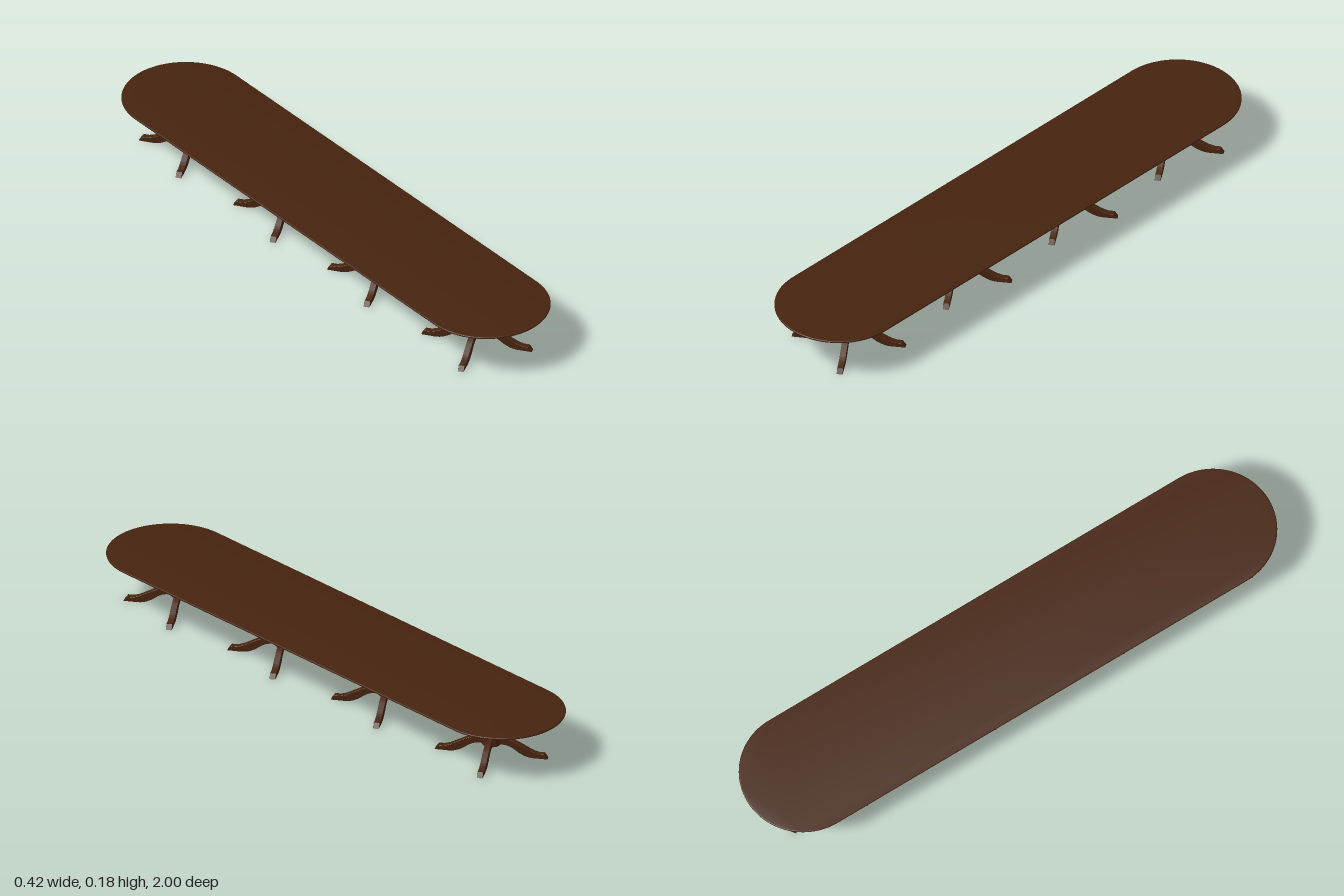
import * as THREE from 'three';
import { toCreasedNormals } from 'three/addons/utils/BufferGeometryUtils.js';

const wood = new THREE.MeshStandardMaterial({ color: 0x46240f });
wood.name = 'brown wood';
const redWood = new THREE.MeshStandardMaterial({ color: 0x3a1218 });
redWood.name = 'dark red wood';

function part(name, geometry, material) {
  const mesh = new THREE.Mesh(geometry, material);
  mesh.name = name;
  return mesh;
}

// Turned part from [radius, height] points, listed bottom to top
function turned(name, points, material) {
  const lathe = new THREE.LatheGeometry(points.map(([r, y]) => new THREE.Vector2(r, y)), 32);
  return part(name, toCreasedNormals(lathe, 0.6), material);
}

// Long top with round ends and a rounded rim
function makeTop() {
  const bevel = 0.003, r = 0.21 - bevel, straight = 0.79;
  const shape = new THREE.Shape();
  shape.moveTo(r, -straight);
  shape.lineTo(r, straight);
  shape.absarc(0, straight, r, 0, Math.PI, false);
  shape.lineTo(-r, -straight);
  shape.absarc(0, -straight, r, Math.PI, Math.PI * 2, false);
  const geo = new THREE.ExtrudeGeometry(shape, {
    depth: 0.001, bevelThickness: bevel, bevelSize: bevel, bevelSegments: 4, curveSegments: 40,
  });
  geo.rotateX(-Math.PI / 2);
  geo.translate(0, 0.172, 0);
  return part('tableTop', toCreasedNormals(geo, 0.5), wood);
}

// S-curved leg, drawn from the side and extruded across its width
function makeLegGeometry() {
  const v = (x, y) => new THREE.Vector2(x, y);
  const shape = new THREE.Shape();
  shape.moveTo(0.02, 0.038);
  shape.splineThru([v(0.045, 0.04), v(0.07, 0.032), v(0.095, 0.015), v(0.12, 0.004), v(0.14, 0.001)]);
  shape.lineTo(0.187, 0.001);
  shape.lineTo(0.176, 0.016);
  shape.lineTo(0.157, 0.016);
  shape.splineThru([v(0.135, 0.023), v(0.11, 0.036), v(0.08, 0.051), v(0.05, 0.06), v(0.02, 0.062)]);
  const width = 0.016, bevel = 0.002;
  const geo = new THREE.ExtrudeGeometry(shape, {
    depth: width, bevelThickness: bevel, bevelSize: 0.001, bevelSegments: 2, curveSegments: 16,
  });
  geo.translate(0, 0, -width / 2);
  return toCreasedNormals(geo, 0.5);
}

function makePedestal(legGeometry) {
  const pedestal = new THREE.Group();
  pedestal.name = 'pedestal';
  pedestal.add(
    turned('hub', [[0, 0.036], [0.030, 0.036], [0.032, 0.038], [0.032, 0.073], [0.030, 0.076], [0, 0.076]], wood),
    turned('lowerRing', [[0, 0.076], [0.024, 0.076], [0.026, 0.079], [0.026, 0.083], [0.023, 0.086], [0, 0.086]], wood),
    turned('bulbs', [
      [0.020, 0.085], [0.024, 0.089], [0.026, 0.095], [0.024, 0.101], [0.019, 0.106], [0.018, 0.109],
      [0.020, 0.112], [0.025, 0.116], [0.026, 0.121], [0.024, 0.127], [0.020, 0.131],
    ], redWood),
    turned('upperRing', [
      [0, 0.130], [0.024, 0.130], [0.026, 0.132], [0.026, 0.136], [0.030, 0.139], [0.033, 0.143], [0, 0.144],
    ], wood),
    turned('drum', [[0.030, 0.142], [0.033, 0.145], [0.031, 0.150], [0.031, 0.158], [0.033, 0.162], [0.033, 0.168]], redWood),
    turned('mountingDisc', [[0, 0.166], [0.063, 0.166], [0.065, 0.167], [0.065, 0.170], [0, 0.170]], wood),
  );
  // Four legs, turned off the table's axes
  for (let i = 0; i < 4; i++) {
    const leg = part('leg', legGeometry, wood);
    leg.rotation.y = THREE.MathUtils.degToRad(-55 + i * 90);
    pedestal.add(leg);
  }
  return pedestal;
}

export function createModel() {
  const table = new THREE.Group();
  table.name = 'table';
  table.add(makeTop());

  // Oval inlay under the middle of the top
  const inlay = part('undersideInlay', new THREE.CylinderGeometry(1, 1, 0.001, 48), redWood);
  inlay.scale.set(0.08, 1, 0.53);
  inlay.position.y = 0.1687;
  table.add(inlay);

  const legGeometry = makeLegGeometry();
  for (const z of [-0.742, -0.247, 0.247, 0.742]) {
    const pedestal = makePedestal(legGeometry);
    pedestal.position.z = z;
    table.add(pedestal);
  }
  return table;
}
